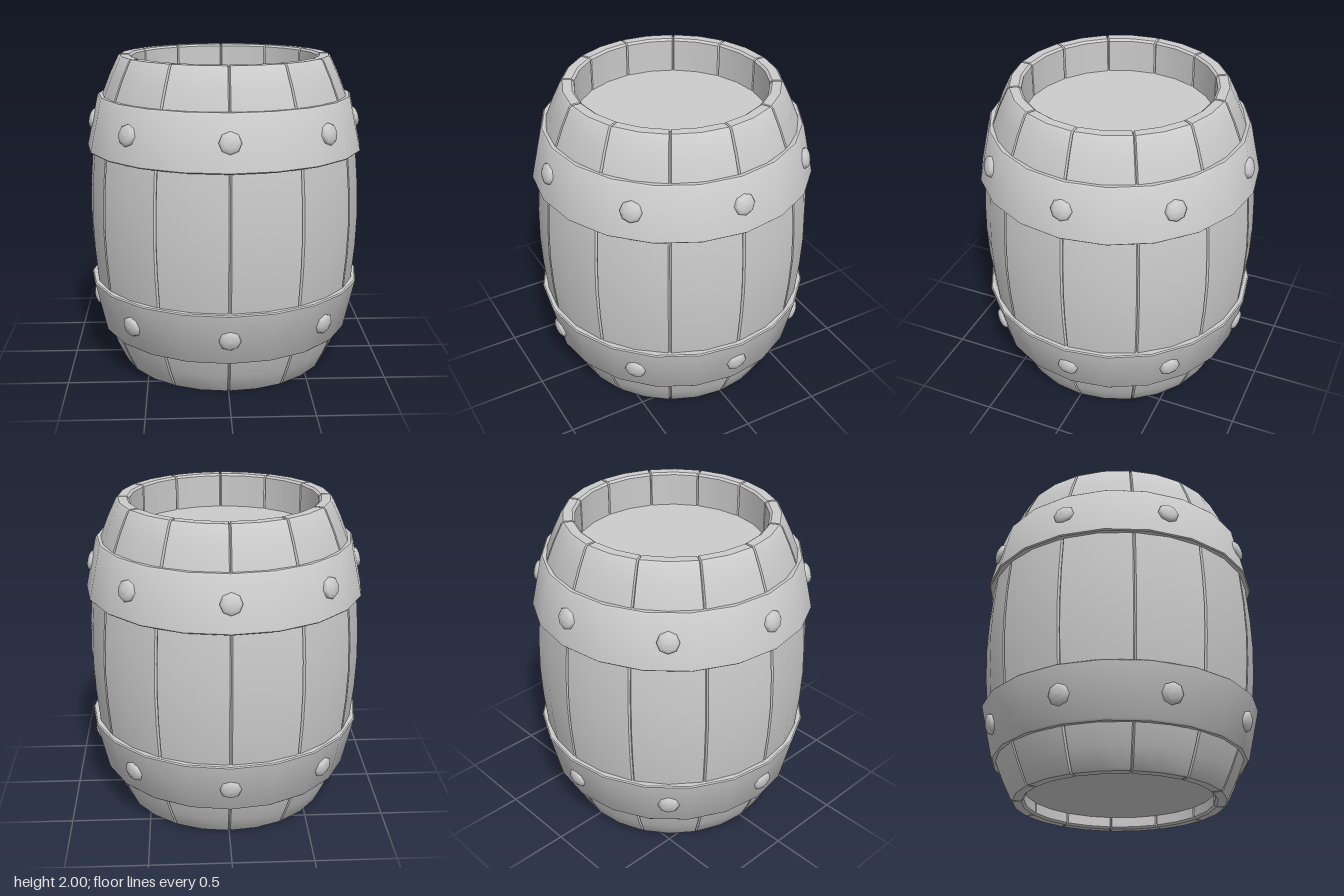
import * as THREE from 'three';
import { toCreasedNormals } from 'three/addons/utils/BufferGeometryUtils.js';

const material = new THREE.MeshStandardMaterial({ color: 0xcccccc });
const vec = ([x, y]) => new THREE.Vector2(x, y);

function add(parent, name, geometry) {
  const mesh = new THREE.Mesh(geometry, material);
  mesh.name = name;
  parent.add(mesh);
  return mesh;
}

// One bulging plank: a closed profile swept over 30 degrees, pinched at its long edges
function staveGeometry() {
  const outer = [[0.655, 0], [0.668, 0.012], [0.722, 0.125], [0.772, 0.25], [0.812, 0.41], [0.84, 0.58],
    [0.859, 0.8], [0.866, 1]];
  const upper = outer.slice(0, -1).reverse().map(([r, y]) => [r, 2 - y]);
  const inner = [[0.6, 2], [0.585, 1.988], [0.585, 0.012], [0.6, 0]];
  const profile = [...outer, ...upper, ...inner, outer[0]];
  const innerStart = outer.length + upper.length;
  const columns = [-15, -14.4, 0, 14.4, 15].map(THREE.MathUtils.degToRad);

  const geometry = new THREE.LatheGeometry(profile.map(vec), columns.length - 1, 0, Math.PI / 6);
  const position = geometry.attributes.position;
  for (let i = 0; i < position.count; i++) {
    const column = Math.floor(i / profile.length);
    const k = i % profile.length;
    let [r, y] = profile[k];
    if (column === 0 || column === columns.length - 1) {
      const isInner = k >= innerStart && k < innerStart + inner.length;
      r += isInner ? 0.012 : -0.012;
      y = 1 + (y - 1) * 0.99;
    }
    position.setXYZ(i, r * Math.sin(columns[column]), y, r * Math.cos(columns[column]));
  }
  return toCreasedNormals(geometry, 0.65);
}

// Tapered metal band with a ring of eight rivets, measured from the barrel's middle
function hoop(name) {
  const group = new THREE.Group();
  group.name = name;
  const profile = [[0.8, 0.42], [0.867, 0.42], [0.874, 0.427], [0.803, 0.745], [0.793, 0.756],
    [0.768, 0.756], [0.75, 0.745], [0.8, 0.42]];
  add(group, 'band', toCreasedNormals(new THREE.LatheGeometry(profile.map(vec), 20), 0.6));

  const dome = [[0.066, -0.02], [0.066, 0.008], [0.056, 0.02], [0.034, 0.029], [0, 0.033]];
  const rivet = new THREE.LatheGeometry(dome.map(vec), 8);
  rivet.rotateX(Math.PI / 2 - 0.22);
  rivet.translate(0, 0.592, 0.829);
  for (let i = 0; i < 8; i++) add(group, 'rivet', rivet).rotation.y = (i * Math.PI) / 4;
  group.position.y = 1;
  return group;
}

export function createModel() {
  const barrel = new THREE.Group();
  barrel.name = 'barrel';

  // Twelve staves, with a seam on each axis
  const stave = staveGeometry();
  for (let i = 0; i < 12; i++) add(barrel, 'stave', stave).rotation.y = ((i + 0.5) * Math.PI) / 6;

  // Recessed lid and base
  const head = new THREE.CylinderGeometry(0.61, 0.61, 0.06, 24);
  add(barrel, 'lid', head).position.y = 1.75;
  add(barrel, 'base', head).position.y = 0.105;

  // Matching hoops, the lower one turned over
  const lowerHoop = hoop('lowerHoop');
  lowerHoop.rotation.x = Math.PI;
  barrel.add(hoop('upperHoop'), lowerHoop);
  return barrel;
}
